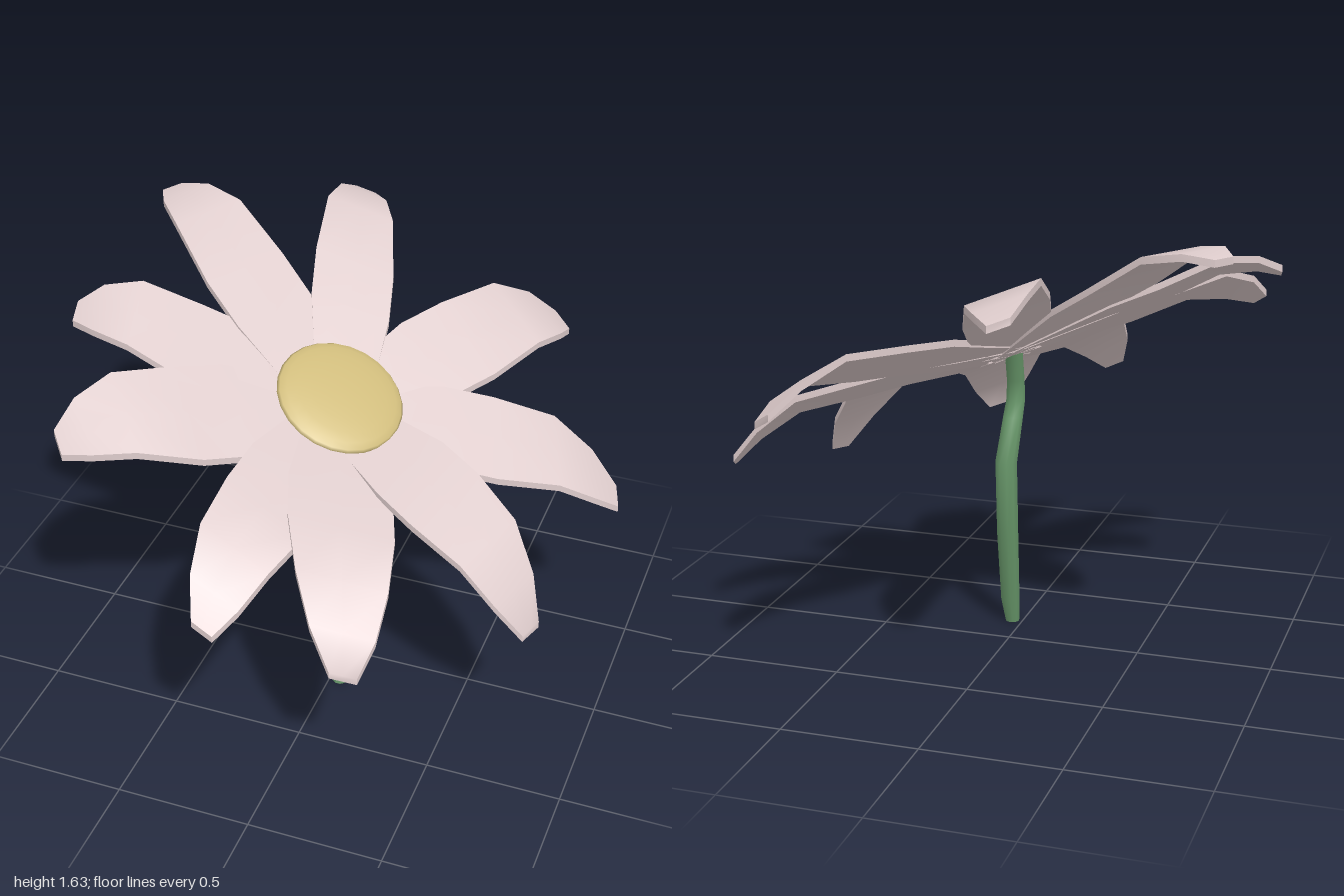
import * as THREE from 'three';
import { toCreasedNormals } from 'three/addons/utils/BufferGeometryUtils.js';

const material = (color) => new THREE.MeshStandardMaterial({ color });

// Skin a list of closed rings of points, with both ends capped
function loft(rings, crease) {
  const n = rings[0].length, index = [];
  rings.slice(1).forEach((_, i) => {
    for (let j = 0; j < n; j++) {
      const a = i * n + j, b = i * n + (j + 1) % n;
      index.push(a, b, b + n, a, b + n, a + n);
    }
  });
  const last = (rings.length - 1) * n;
  for (let j = 1; j < n - 1; j++) {
    index.push(0, j + 1, j, last, last + j, last + j + 1);
  }
  const g = new THREE.BufferGeometry();
  g.setAttribute('position', new THREE.Float32BufferAttribute(rings.flat(2), 3));
  g.setIndex(index);
  return toCreasedNormals(g, crease);
}

// The tilted plane in which the flower head lies
const HEAD = { x: -0.02, y: 1.16, slopeX: -0.46, slopeZ: -0.28 };
const planeY = (x, z) => HEAD.y + HEAD.slopeX * x + HEAD.slopeZ * z;

// Stations along a petal: fraction of length, half width, lift above the plane
const STATIONS = [
  [0, 0.09, -0.04], [0.2, 0.14, -0.01], [0.37, 0.172, 0.025], [0.55, 0.174, 0.045],
  [0.77, 0.148, 0.06], [0.91, 0.105, -0.01], [1, 0.045, -0.09],
];
const THICKNESS = 0.025;
const ACROSS = [-1, 0, 1];

// raise lifts or lowers the middle of the petal, leaving root and tip in place
function petalGeometry(tipX, tipZ, width, raise) {
  const dx = tipX - HEAD.x, dz = tipZ, len = Math.hypot(dx, dz);
  const sx = dz / len, sz = -dx / len;
  const rings = STATIONS.map(([t, half, lift]) => {
    const bulge = raise * Math.sin(Math.PI * t ** 1.5);
    const point = (u, drop) => {
      const x = HEAD.x + dx * t + sx * u * half * width;
      const z = dz * t + sz * u * half * width;
      return [x, planeY(x, z) + lift + bulge - drop, z];
    };
    return [
      ...ACROSS.map((u) => point(u, THICKNESS)),
      ...[...ACROSS].reverse().map((u) => point(u, 0)),
    ];
  });
  return loft(rings, 0.7);
}

// Tip x, tip z, relative width and middle raise of every petal
const PETALS = [
  [-0.28, -0.995, 0.83, -0.02], [0.55, -0.95, 0.88, -0.025], [0.94, -0.36, 0.93, -0.025],
  [0.81, 0.33, 1.03, 0.02], [0.31, 0.87, 1.05, -0.01], [-0.14, 0.995, 0.86, -0.03],
  [-0.79, 0.68, 0.98, -0.055], [-0.95, 0.19, 0.92, -0.06], [-0.88, -0.51, 0.98, -0.045],
];

// Stem stations: x, y, z, radius
const STEM = [
  [0.04, 0, 0.17, 0.027], [0.042, 0.1, 0.148, 0.037], [0.03, 0.4, 0.075, 0.042],
  [0.018, 0.69, 0.02, 0.042], [0.002, 0.86, 0.055, 0.038], [-0.002, 0.92, 0.075, 0.036],
  [-0.008, 1.0, 0.055, 0.034], [-0.015, 1.13, 0.005, 0.034],
];

export function createModel() {
  const model = new THREE.Group();
  model.name = 'flower';
  const add = (name, geometry, mat) => {
    const mesh = new THREE.Mesh(geometry, mat);
    mesh.name = name;
    model.add(mesh);
    return mesh;
  };

  // Petals
  const petalMat = material(0xdfcdcd);
  PETALS.forEach((p, i) => add(`petal${i + 1}`, petalGeometry(...p), petalMat));

  // Domed centre disc, turned to the head's plane
  const disc = add('centreDisc', new THREE.SphereGeometry(1, 24, 12), material(0xd0bc7c));
  disc.scale.set(0.237, 0.04, 0.237);
  disc.position.set(-0.025, 1.17, -0.013);
  const normal = new THREE.Vector3(-HEAD.slopeX, 1, 0.25).normalize();
  disc.quaternion.setFromUnitVectors(new THREE.Vector3(0, 1, 0), normal);

  // Bent, tapering stem
  const sides = 10;
  const rings = STEM.map(([x, y, z, r]) => Array.from({ length: sides }, (_, j) => {
    const a = (j / sides) * Math.PI * 2;
    return [x + r * Math.cos(a), y, z - r * Math.sin(a)];
  }));
  add('stem', loft(rings, 1), material(0x6a9a6c));

  return model;
}
